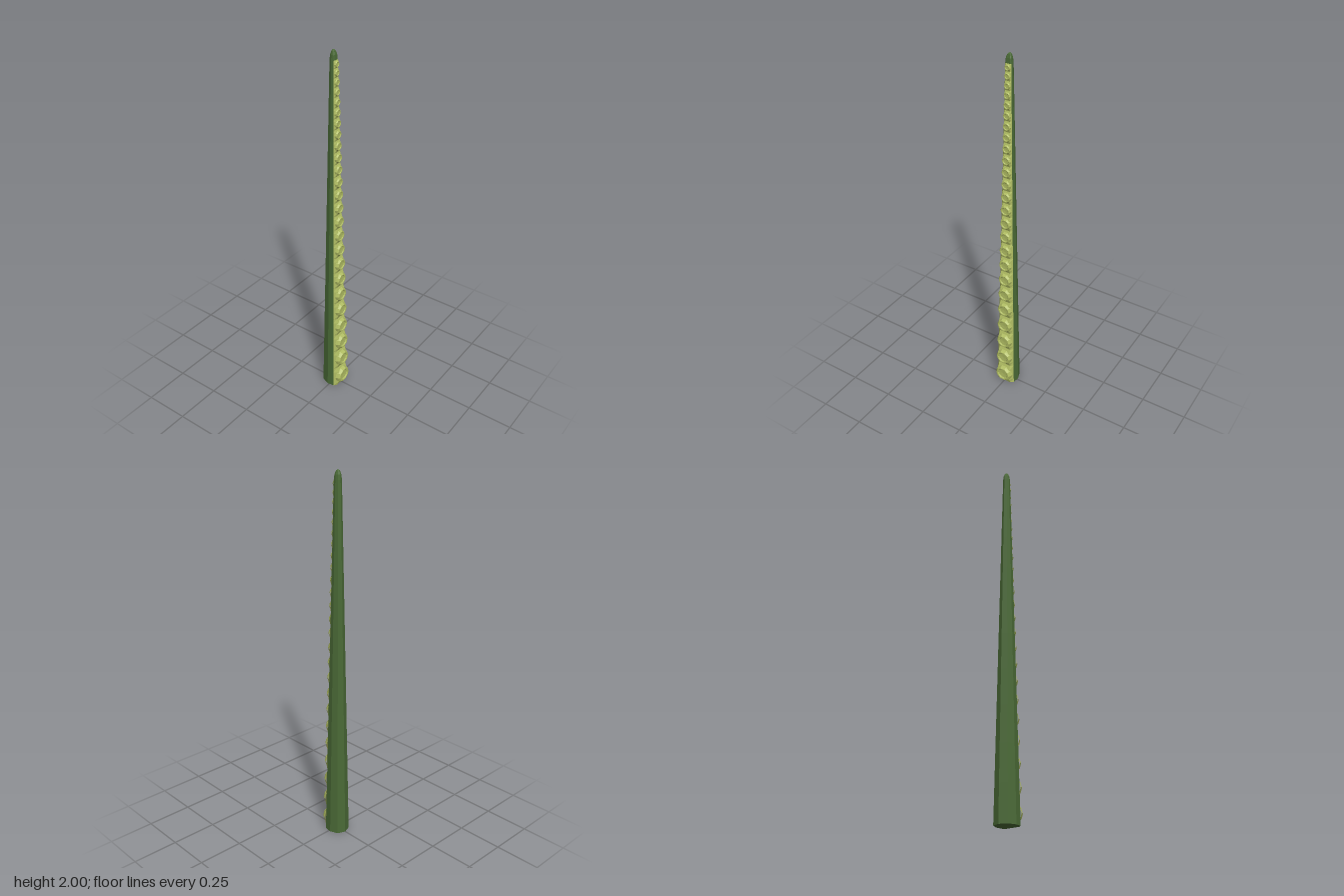
import * as THREE from 'three';

const TIP = 1.95; // height where the rounded tip starts
const CX = -0.01; // x of the arm's axis
const radius = (y) => 0.06 - 0.0215 * y;

// Skins a list of cross-sections (bottom to top, counter-clockwise from above) with flat faces
function skin(sections) {
  const pos = [];
  for (let i = 0; i < sections.length - 1; i++) {
    const a = sections[i], b = sections[i + 1];
    for (let j = 0; j < a.length - 1; j++) {
      pos.push(...a[j], ...a[j + 1], ...b[j + 1], ...a[j], ...b[j + 1], ...b[j]);
    }
  }
  const g = new THREE.BufferGeometry();
  g.setAttribute('position', new THREE.Float32BufferAttribute(pos, 3));
  g.computeVertexNormals();
  return g;
}

// Places an [x, z] profile at height y, scaled by r
const place = (profile, y, r) => profile.map(([x, z]) => [CX + x * r, y, z * r]);

const BACK = [[0.66, -0.92], [0, -1], [-0.72, -0.72], [-1, 0], [-0.72, 0.72], [0, 1], [0.66, 0.92]];
const belly = (d) => [[0.66, 0.92], [d, 0.64], [d, -0.64], [0.66, -0.92]];

export function createModel() {
  const group = new THREE.Group();
  const green = new THREE.MeshStandardMaterial({ color: 0x4a6a36, flatShading: true });
  green.name = 'dark green skin';
  const pale = new THREE.MeshStandardMaterial({ color: 0xb0bd63, flatShading: true });
  pale.name = 'pale sucker skin';
  const add = (geometry, material, name, parent = group) => {
    const mesh = new THREE.Mesh(geometry, material);
    mesh.name = name;
    parent.add(mesh);
    return mesh;
  };

  // Sucker segments, shrinking toward the tip
  const segments = [];
  for (let y = 0; y < TIP - 0.03;) {
    const size = Math.min(0.13 - 0.044 * (y + 0.06), TIP - y);
    segments.push({ y, size });
    y += size;
  }

  // Back of the arm
  const backRings = [];
  for (let i = 0; i <= 10; i++) {
    const y = TIP * i / 10;
    backRings.push(place(BACK, y, radius(y)));
  }
  add(skin(backRings), green, 'armBack');

  // Scalloped underside: valleys between segments, bulges under the suckers
  const bellyRings = [];
  for (const { y, size } of segments) {
    for (const [t, d] of [[0, 0.88], [0.22, 1.06], [0.78, 1.06]]) {
      const h = y + t * size;
      bellyRings.push(place(belly(d), h, radius(h)));
    }
  }
  bellyRings.push(place(belly(0.88), TIP, radius(TIP)));
  add(skin(bellyRings), pale, 'underside');

  // Rounded tip
  const whole = [...BACK, [0.88, 0.64], [0.88, -0.64], BACK[0]];
  add(skin([[TIP, 1], [1.975, 0.85], [1.992, 0.5], [2, 0.001]]
    .map(([y, k]) => place(whole, y, radius(TIP) * k))), green, 'tip');

  // Flat base
  add(skin([place(whole, 0, 0.00001), place(whole, 0, radius(0))]), green, 'base');

  // Cupped suckers along the +x side
  const suckers = new THREE.Group();
  suckers.name = 'suckers';
  group.add(suckers);
  const profile = [[0.9, 0.88], [0.82, 1.12], [0.7, 1.3], [0.58, 1.3], [0.46, 1.2], [0, 1.17]]
    .map(([r, h]) => new THREE.Vector2(r, h));
  const cup = new THREE.LatheGeometry(profile, 10).rotateZ(-Math.PI / 2).toNonIndexed();
  cup.computeVertexNormals();
  for (const { y, size } of segments) {
    const mid = y + size / 2;
    const sucker = add(cup, pale, 'sucker', suckers);
    sucker.position.set(CX, mid, 0);
    sucker.scale.setScalar(radius(mid));
  }
  return group;
}
